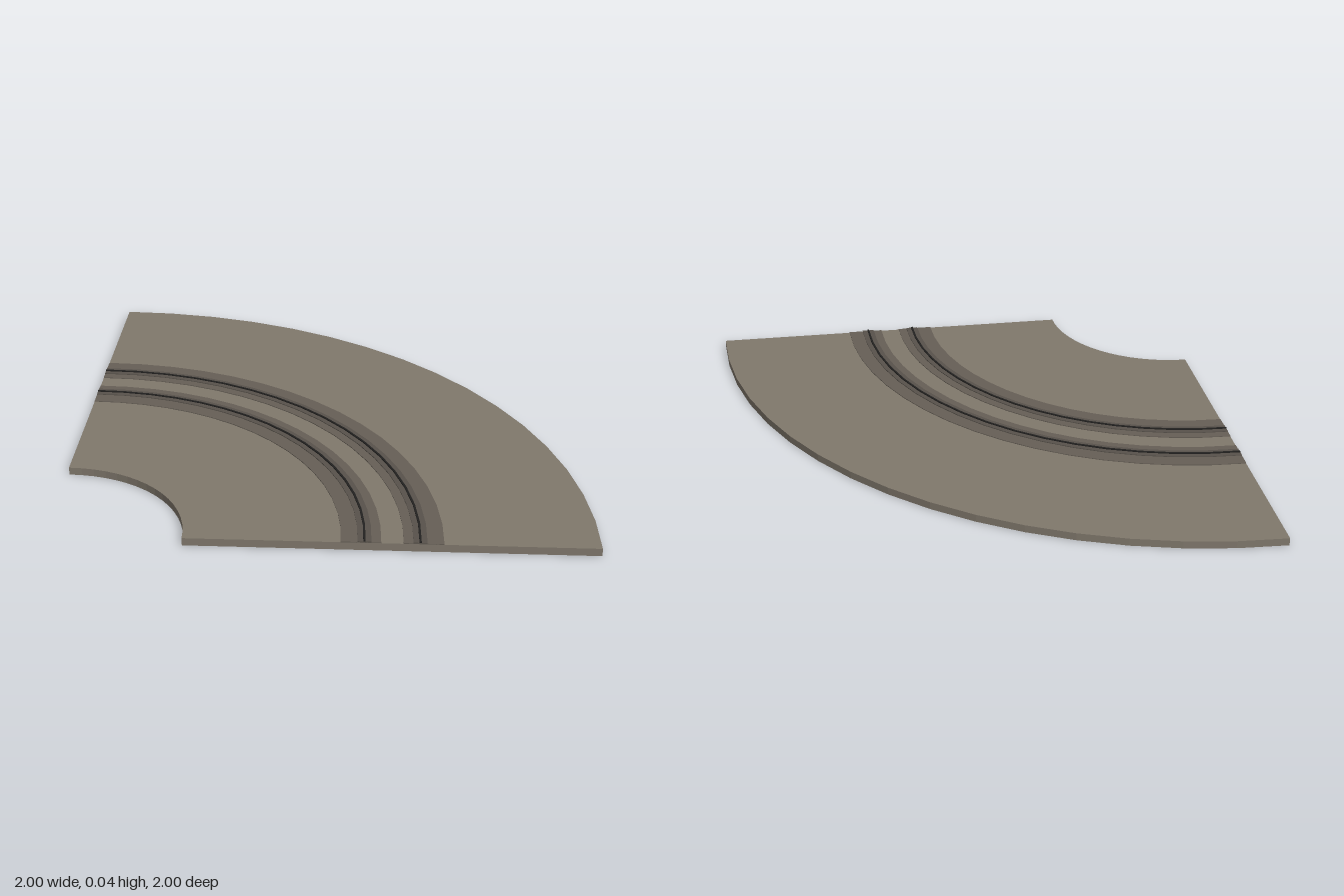
import * as THREE from 'three';

// Quarter ring around the corner (-1, 1), lying flat between two heights
function arcBand(name, inner, outer, bottom, top, color) {
  const shape = new THREE.Shape();
  shape.absarc(-1, -1, outer, 0, Math.PI / 2, false);
  shape.absarc(-1, -1, inner, Math.PI / 2, 0, true);
  shape.closePath();
  const geometry = new THREE.ExtrudeGeometry(shape, {
    depth: top - bottom, bevelEnabled: false, curveSegments: 8,
  });
  geometry.rotateX(-Math.PI / 2);
  geometry.translate(0, bottom, 0);
  const mesh = new THREE.Mesh(geometry, new THREE.MeshStandardMaterial({ color, flatShading: true }));
  mesh.name = name;
  return mesh;
}

export function createModel() {
  const group = new THREE.Group();
  group.name = 'curvedTrackTile';

  // Ground slab
  group.add(arcBand('groundSlab', 0.5, 2, 0, 0.03, 0x80786c));

  // Two mirrored rails about the track centre line
  const centre = 1.255;
  for (const side of [-1, 1]) {
    const rail = new THREE.Group();
    rail.name = side < 0 ? 'innerRail' : 'outerRail';
    const band = (name, from, to, bottom, top, color) => {
      const a = centre + side * from, b = centre + side * to;
      rail.add(arcBand(name, Math.min(a, b), Math.max(a, b), bottom, top, color));
    };
    // Worn bed, darker rail foot and narrow rail head
    band('railBed', 0.04, 0.185, 0.029, 0.033, 0x665f56);
    band('railFoot', 0.075, 0.125, 0.032, 0.036, 0x58524b);
    band('railHead', 0.096, 0.104, 0.035, 0.04, 0x222120);
    group.add(rail);
  }
  return group;
}
